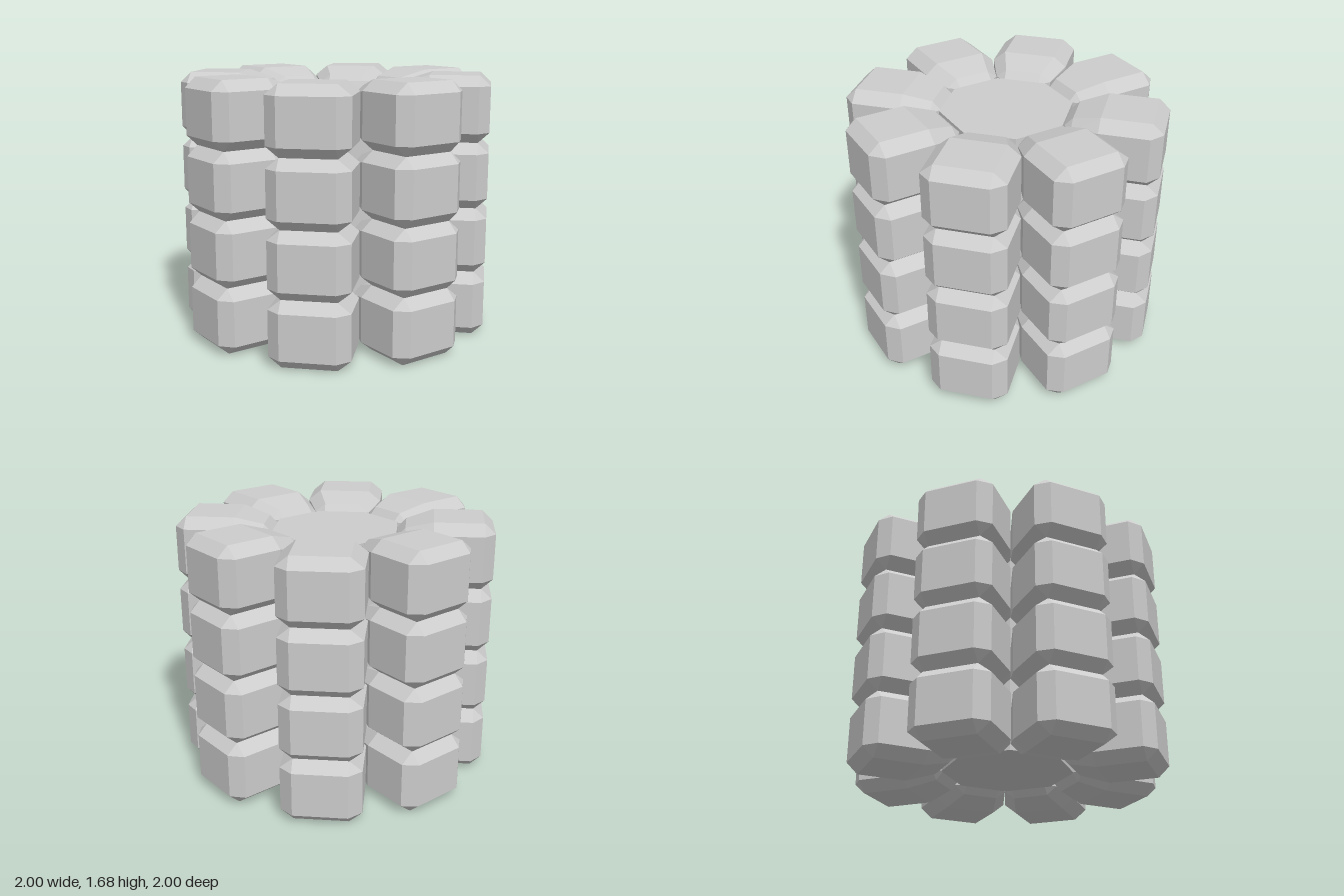
import * as THREE from 'three';
import { ConvexGeometry } from 'three/addons/geometries/ConvexGeometry.js';

const LAYERS = 4, SIDES = 8, PITCH = 0.42;

// Bevelled block lying along +z, narrowing towards the core
function blockGeometry() {
  // distance from axis, half width, half height, flat half width, flat half height
  const sections = [
    [1.0, 0.17, 0.145, 0.17, 0.145],
    [0.93, 0.25, 0.21, 0.17, 0.145],
    [0.62, 0.25, 0.21, 0.17, 0.145],
    [0.445, 0.183, 0.158, 0.117, 0.105],
    [0.395, 0.117, 0.105, 0.117, 0.105],
  ];
  const points = [];
  for (const [r, w, h, fw, fh] of sections) {
    for (const sx of [-1, 1]) {
      for (const sy of [-1, 1]) {
        points.push(new THREE.Vector3(sx * w, sy * fh, r));
        if (w !== fw) points.push(new THREE.Vector3(sx * fw, sy * h, r));
      }
    }
  }
  return new ConvexGeometry(points);
}

export function createModel() {
  const model = new THREE.Group();
  model.name = 'blockDrum';
  const grey = new THREE.MeshStandardMaterial({ color: 0xcccccc });
  grey.name = 'lightGrey';

  // Octagonal core, slightly recessed at both ends
  const coreGeometry = new THREE.CylinderGeometry(0.422, 0.422, 1.5, SIDES).toNonIndexed();
  coreGeometry.rotateY(Math.PI / SIDES);
  coreGeometry.computeVertexNormals();
  const core = new THREE.Mesh(coreGeometry, grey);
  core.name = 'core';
  core.position.y = (LAYERS * PITCH) / 2;
  model.add(core);

  // Stacked rings of blocks
  const geometry = blockGeometry();
  for (let layer = 0; layer < LAYERS; layer++) {
    const ring = new THREE.Group();
    ring.name = `ring${layer + 1}`;
    ring.position.y = (layer + 0.5) * PITCH;
    for (let i = 0; i < SIDES; i++) {
      const block = new THREE.Mesh(geometry, grey);
      block.name = `block${i + 1}`;
      block.rotation.y = (i / SIDES) * Math.PI * 2;
      ring.add(block);
    }
    model.add(ring);
  }
  return model;
}
